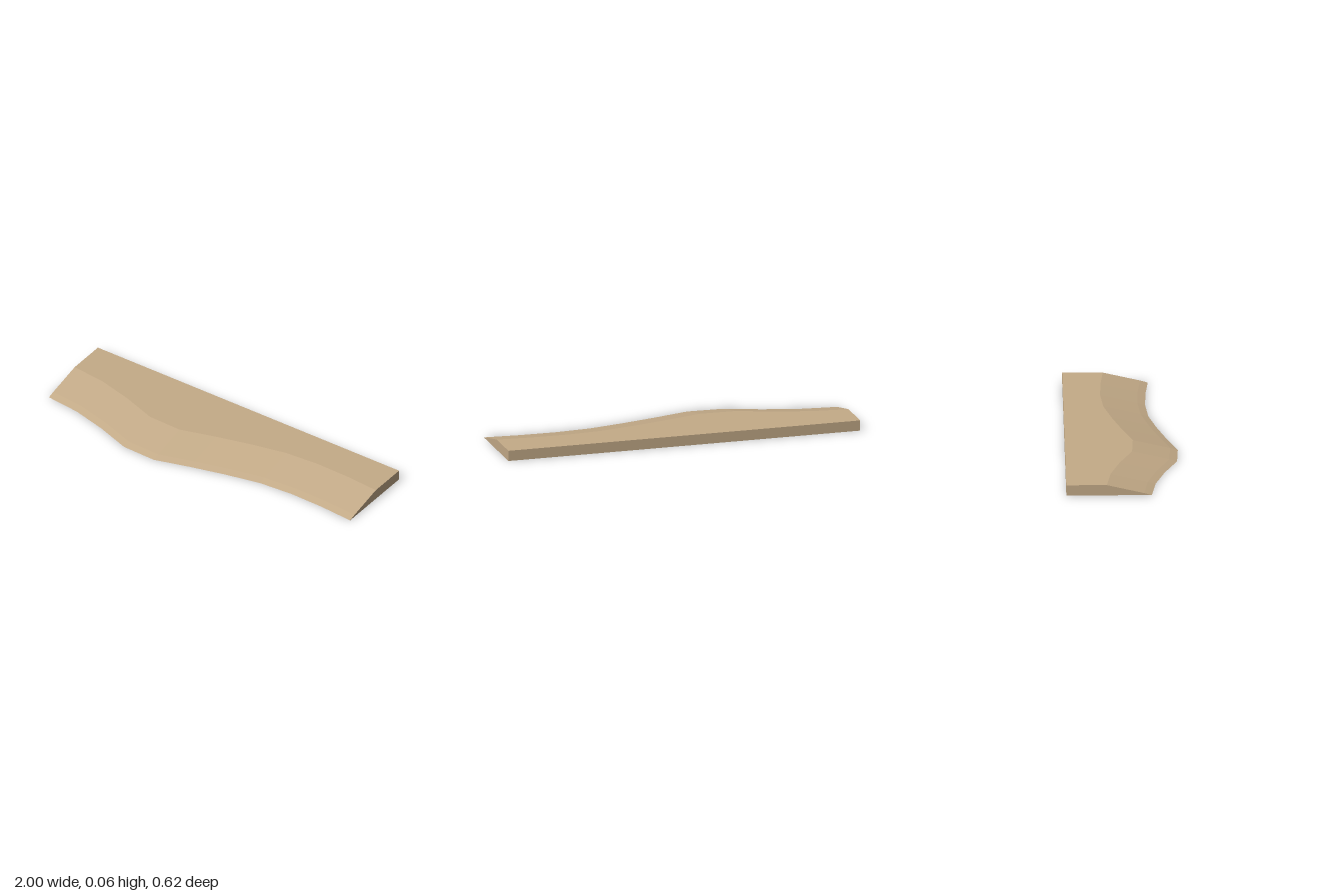
import * as THREE from 'three';

const BACK = -0.31;
const TOP = 0.058;

// Toe line of the slope, evenly spaced from x = -1 to x = 1
const toe = [0.156, 0.178, 0.23, 0.3, 0.306, 0.247, 0.195, 0.152, 0.137, 0.141, 0.156];

// Cross-section at one station: back foot, back top, crest, bend, toe
const sections = toe.map((z, i) => {
  const x = -1 + (2 * i) / (toe.length - 1);
  return [
    [x, 0, BACK],
    [x, TOP, BACK],
    [x, TOP, z - 0.245],
    [x, 0.012, z - 0.042],
    [x, 0, z],
  ].map((p) => new THREE.Vector3(...p));
});

function addMesh(group, name, points, material) {
  const geometry = new THREE.BufferGeometry().setFromPoints(points);
  geometry.computeVertexNormals();
  const mesh = new THREE.Mesh(geometry, material);
  mesh.name = name;
  group.add(mesh);
}

// Strip of faces between section rows from..to, along the whole length
function strip(from, to) {
  const points = [];
  for (let i = 0; i < sections.length - 1; i++) {
    const s = sections[i], t = sections[i + 1];
    for (let j = from; j < to; j++) {
      points.push(s[j], s[j + 1], t[j + 1], s[j], t[j + 1], t[j]);
    }
  }
  return points;
}

// Flat end closing one section
function cap(section, flip) {
  const points = [];
  for (let j = 1; j < section.length - 1; j++) {
    const [a, b] = flip ? [j + 1, j] : [j, j + 1];
    points.push(section[0], section[a], section[b]);
  }
  return points;
}

export function createModel() {
  const group = new THREE.Group();
  group.name = 'shoreBank';

  const sand = new THREE.MeshStandardMaterial({ color: 0xc4ab88, flatShading: true, side: THREE.DoubleSide });
  sand.name = 'sand';

  // Shell, open underneath
  addMesh(group, 'backWall', strip(0, 1), sand);
  addMesh(group, 'flatTop', strip(1, 2), sand);
  addMesh(group, 'frontSlope', strip(2, 4), sand);
  addMesh(group, 'rightEnd', cap(sections[0], true), sand);
  addMesh(group, 'leftEnd', cap(sections[sections.length - 1], false), sand);
  return group;
}
